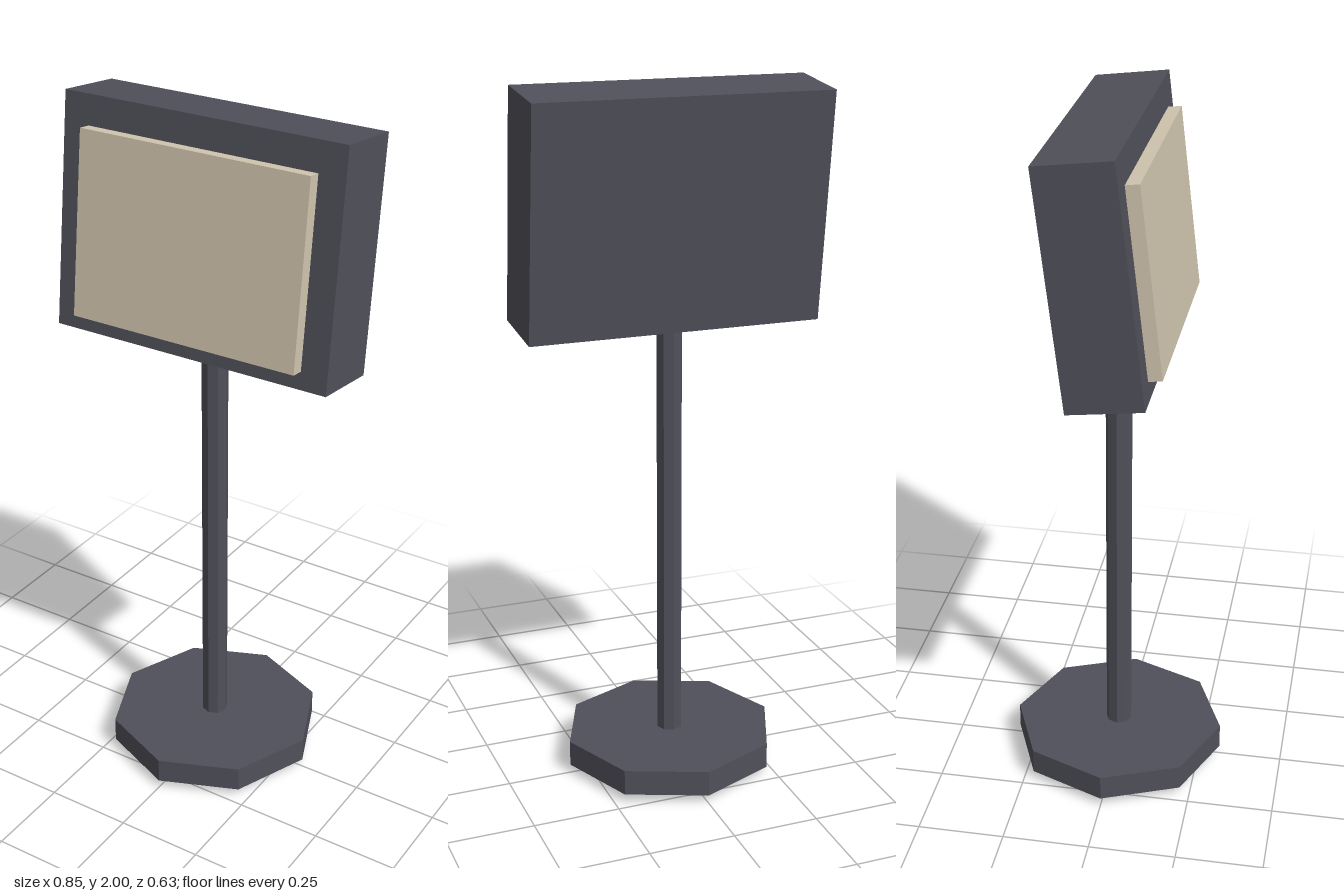
import * as THREE from 'three';

export function createModel() {
  const model = new THREE.Group();
  const darkGrey = new THREE.MeshStandardMaterial({ color: 0x50505a, flatShading: true });
  darkGrey.name = 'dark grey';
  const beige = new THREE.MeshStandardMaterial({ color: 0xd2c6b0, flatShading: true });
  beige.name = 'beige';

  function add(parent, name, geometry, material, x, y, z) {
    const mesh = new THREE.Mesh(geometry, material);
    mesh.name = name;
    mesh.position.set(x, y, z);
    parent.add(mesh);
  }

  // Octagonal foot and the pole that pokes slightly through it
  add(model, 'base', new THREE.CylinderGeometry(0.313, 0.313, 0.075, 8), darkGrey, 0, 0.0625, 0);
  add(model, 'pole', new THREE.CylinderGeometry(0.038, 0.038, 1.4, 8), darkGrey, 0, 0.7, 0);

  // Sign box leaning backwards, with a raised panel on its front
  const sign = new THREE.Group();
  sign.name = 'sign';
  sign.position.set(0, 1.6635, 0);
  sign.rotation.x = -0.118;
  add(sign, 'signBox', new THREE.BoxGeometry(0.85, 0.653, 0.21), darkGrey, 0, 0, 0);
  add(sign, 'signPanel', new THREE.BoxGeometry(0.694, 0.519, 0.06), beige, 0, -0.017, 0.113);
  model.add(sign);

  return model;
}
